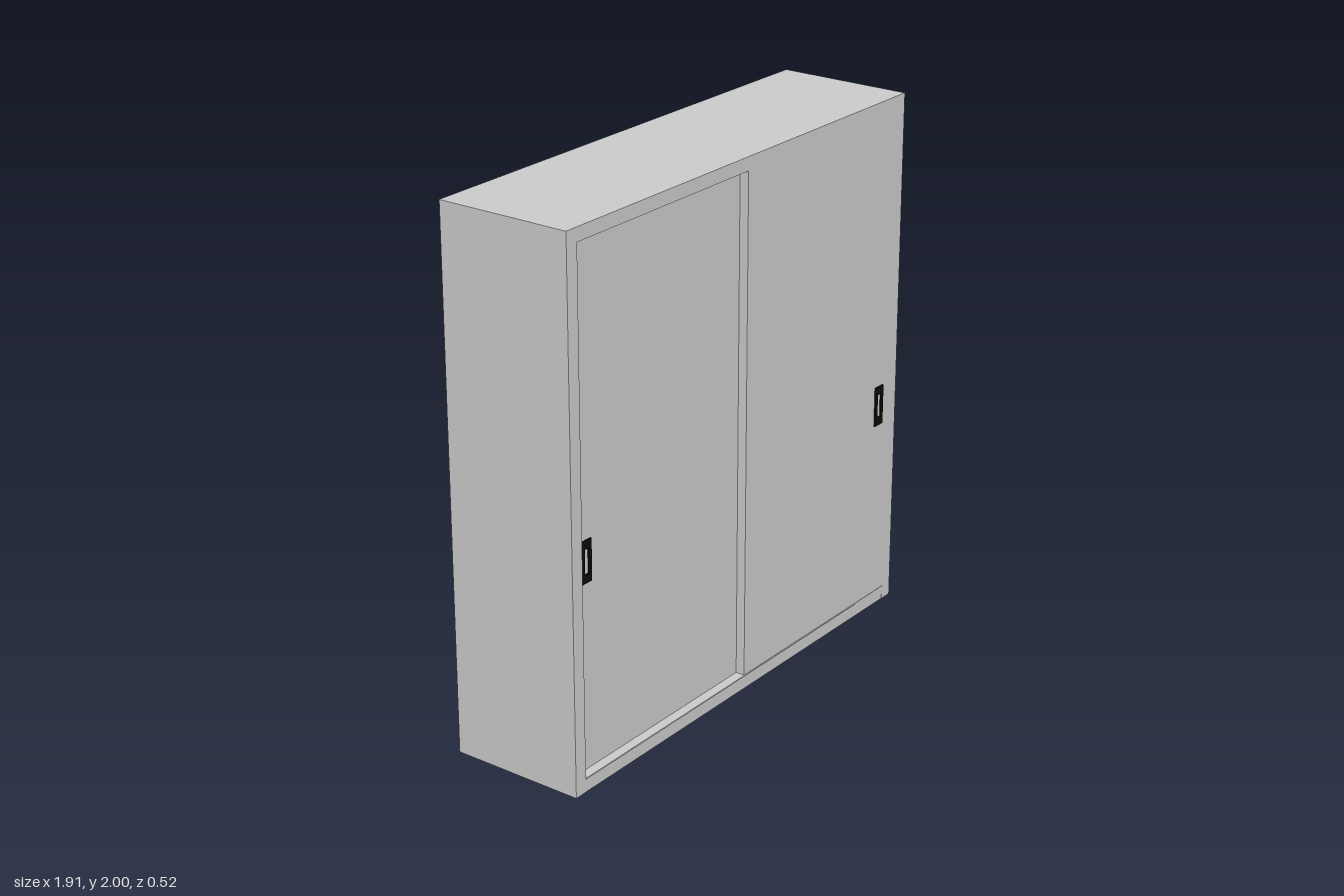
import * as THREE from 'three';

const grey = new THREE.MeshStandardMaterial({ color: 0xcccccc, flatShading: true });
const black = new THREE.MeshStandardMaterial({ color: 0x0c0c0c, flatShading: true });

// Overall extents
const X = 0.957, IN = 0.905, TOP = 2, BACK = -0.262, FRONT = 0.256, REAR_DOOR = 0.221;

// Box given by its minimum and maximum on each axis
function box(name, x0, x1, y0, y1, z0, z1) {
  const mesh = new THREE.Mesh(new THREE.BoxGeometry(x1 - x0, y1 - y0, z1 - z0), grey);
  mesh.position.set((x0 + x1) / 2, (y0 + y1) / 2, (z0 + z1) / 2);
  mesh.name = name;
  return mesh;
}

// Rectangular pull: a thin plate with a slot through it
function pull(name, x, z) {
  const rect = (path, w, h) => {
    path.moveTo(-w, -h);
    path.lineTo(w, -h);
    path.lineTo(w, h);
    path.lineTo(-w, h);
    path.closePath();
    return path;
  };
  const plate = rect(new THREE.Shape(), 0.025, 0.077);
  plate.holes.push(rect(new THREE.Path(), 0.011, 0.046));
  const mesh = new THREE.Mesh(
    new THREE.ExtrudeGeometry(plate, { depth: 0.006, bevelEnabled: false }), black);
  mesh.position.set(x, 0.827, z);
  mesh.name = name;
  return mesh;
}

export function createModel() {
  const cabinet = new THREE.Group();
  cabinet.name = 'slidingDoorCabinet';

  // Carcass, open underneath
  cabinet.add(
    box('leftSide', IN, X, 0, TOP, BACK, FRONT),
    box('rightSide', -X, -IN, 0, TOP, BACK, FRONT),
    box('topPanel', -IN, IN, 1.95, TOP, BACK, FRONT),
    box('backPanel', -IN, IN, 0, 1.95, BACK, BACK + 0.003),
    box('plinth', -IN, IN, 0, 0.05, FRONT - 0.004, FRONT - 0.001),
    box('bottomRail', -IN, IN, 0.05, 0.055, REAR_DOOR - 0.003, FRONT + 0.002)
  );

  // Thin doors: one flush with the frame, one set back behind it
  cabinet.add(
    box('frontDoor', 0, IN, 0.055, 1.95, FRONT - 0.003, FRONT),
    box('frontDoorEdge', 0, 0.003, 0.055, 1.95, REAR_DOOR - 0.003, FRONT - 0.003),
    box('rearDoor', -IN, 0, 0.055, 1.95, REAR_DOOR - 0.003, REAR_DOOR)
  );

  // Door pulls
  cabinet.add(
    pull('frontDoorPull', 0.84, FRONT),
    pull('rearDoorPull', -0.845, REAR_DOOR)
  );
  return cabinet;
}
